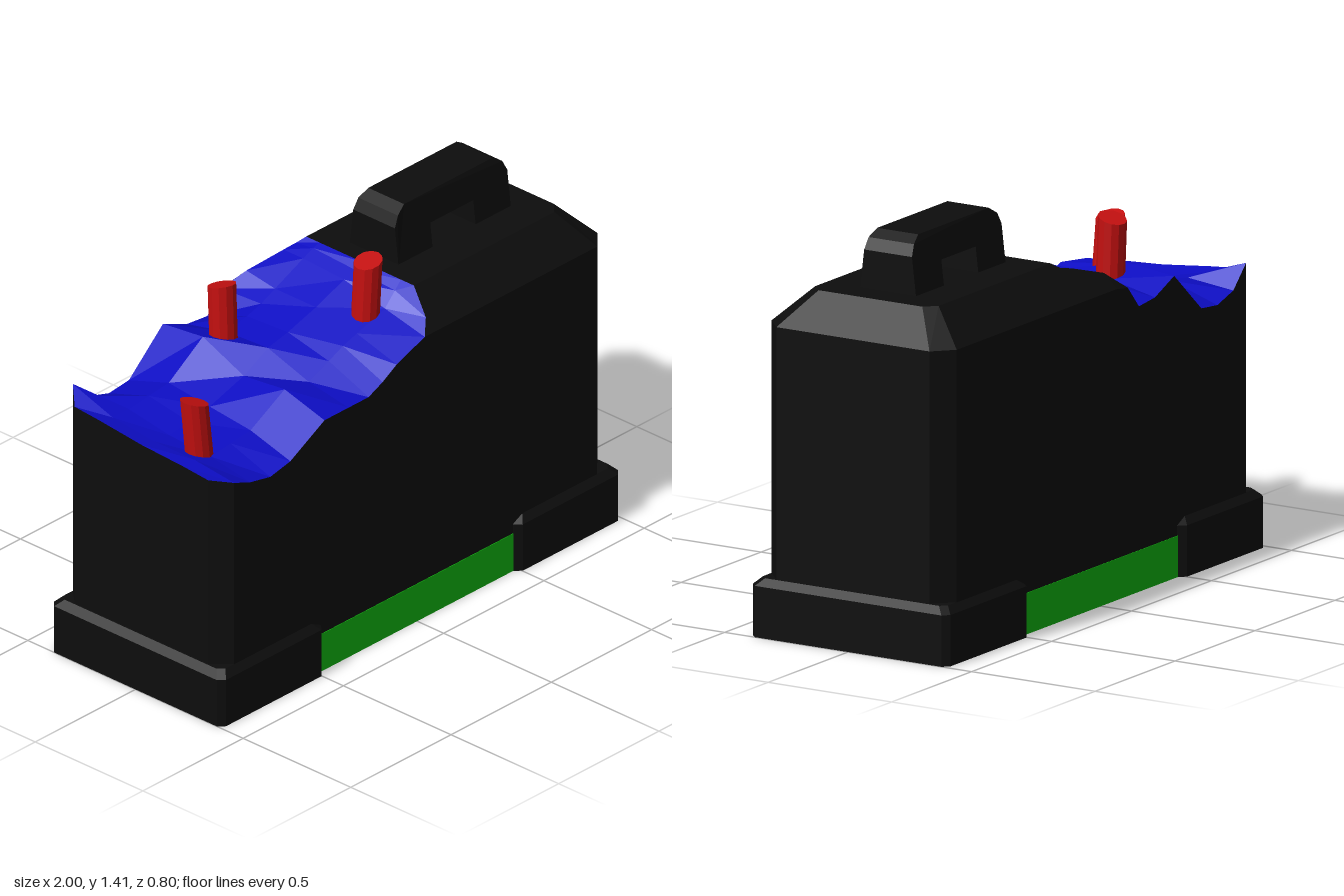
import * as THREE from 'three';

const flat = (name, color, side = THREE.FrontSide) => {
  const m = new THREE.MeshStandardMaterial({ color, flatShading: true, side });
  m.name = name;
  return m;
};

// Builds a flat-faced geometry from a list of polygons (each fanned from its first corner)
function fromPolygons(polys) {
  const pos = [];
  for (const p of polys)
    for (let i = 1; i + 1 < p.length; i++) pos.push(...p[0], ...p[i], ...p[i + 1]);
  const g = new THREE.BufferGeometry();
  g.setAttribute('position', new THREE.Float32BufferAttribute(pos, 3));
  g.computeVertexNormals();
  return g;
}

// Walls between stacked rings; ring points run front, right, back, left
function walls(rings, closed) {
  const polys = [];
  for (let r = 0; r + 1 < rings.length; r++) {
    const a = rings[r], b = rings[r + 1], n = a.length;
    for (let i = 0; i < (closed ? n : n - 1); i++) {
      const j = (i + 1) % n;
      polys.push([a[i], a[j], b[j], b[i]]);
    }
  }
  return polys;
}

// Rectangle with cut corners
function cutRect(cx, y, hx, hz, c) {
  return [
    [-hx + c, hz], [hx - c, hz], [hx, hz - c], [hx, -hz + c],
    [hx - c, -hz], [-hx + c, -hz], [-hx, -hz + c], [-hx, hz - c],
  ].map(([x, z]) => [cx + x, y, z]);
}

export function createModel() {
  const black = flat('black casing', 0x0d0d0d, THREE.DoubleSide);
  const blue = flat('blue fracture', 0x0d0dc4, THREE.DoubleSide);
  const red = flat('red rods', 0xc41010);
  const green = flat('green base', 0x10c010);

  const model = new THREE.Group();
  const add = (name, geometry, material) => {
    const mesh = new THREE.Mesh(geometry, material);
    mesh.name = name;
    model.add(mesh);
    return mesh;
  };

  // Intact half of the casing, with a bevelled top
  const W = 0.375, SHOULDER = 1.09, TOP = 1.21, CUT = 0.12, BASE = 0.14;
  const half = (y, x1, x2, z1, z2) =>
    [[CUT, y, z1], [x1, y, z1], [x2, y, z2], [x2, y, -z2], [x1, y, -z1], [CUT, y, -z1]];
  const top = half(TOP, 0.82, 0.86, 0.25, 0.21);
  add('intactCasing', fromPolygons([
    ...walls([half(BASE, 0.9, 0.97, W, 0.31), half(SHOULDER, 0.9, 0.97, W, 0.31), top], false),
    top,
  ]), black);

  // Broken half: x, half width, then fracture heights from back to front
  const stations = [
    [-0.97, 0.31, 0.97, 0.96, 0.94, 0.93, 0.92],
    [-0.91, W, 1.01, 0.95, 0.93, 0.93, 0.91],
    [-0.83, W, 0.93, 0.95, 0.92, 0.91, 0.88],
    [-0.73, W, 0.90, 0.96, 0.93, 0.92, 0.86],
    [-0.63, W, 0.91, 0.97, 0.95, 0.93, 0.88],
    [-0.46, W, 1.06, 1.08, 1.00, 1.02, 0.97],
    [-0.34, W, 1.01, 1.05, 1.06, 1.00, 0.97],
    [-0.24, W, 1.00, 1.07, 1.08, 1.04, 0.97],
    [-0.17, W, 1.08, 1.09, 1.10, 1.07, 1.00],
    [-0.10, W, 1.14, 1.12, 1.12, 1.09, 1.04],
    [0.04, W, 1.18, 1.18, 1.17, 1.13, 1.09],
    [0.09, W, 1.19, 1.20, 1.19, 1.18, 1.13],
    [CUT, W, TOP, TOP, TOP, TOP, TOP],
  ].map(([x, w, ...h]) => {
    // Where the fracture is above the shoulder its edge follows the bevel inwards
    const edge = (y) => w - Math.max(0, y - SHOULDER) * 0.125 / 0.12;
    const zs = [-edge(h[0]), -0.19, 0, 0.19, edge(h[4])];
    const side = (s, y) => [
      [x, BASE, s * w], [x, Math.min(y, SHOULDER), s * w], [x, y, s * edge(y)],
    ];
    return { sheet: zs.map((z, i) => [x, h[i], z]), back: side(-1, h[0]), front: side(1, h[4]) };
  });

  const sheet = [], shell = [];
  for (let s = 0; s + 1 < stations.length; s++) {
    const a = stations[s], b = stations[s + 1];
    for (let i = 0; i < 4; i++)
      sheet.push([a.sheet[i], a.sheet[i + 1], b.sheet[i + 1], b.sheet[i]]);
    for (let i = 0; i < 2; i++) {
      shell.push([a.front[i], b.front[i], b.front[i + 1], a.front[i + 1]]);
      shell.push([b.back[i], a.back[i], a.back[i + 1], b.back[i + 1]]);
    }
  }
  // End wall under the jagged edge
  const end = stations[0].sheet;
  for (let i = 0; i < 4; i++) {
    const p = end[i], q = end[i + 1];
    shell.push([[p[0], BASE, p[2]], [q[0], BASE, q[2]], q, p]);
  }
  add('brokenCasing', fromPolygons(shell), black);
  add('fractureSurface', fromPolygons(sheet), blue);

  // Feet at both ends
  for (const s of [-1, 1]) {
    const rings = [
      cutRect(s * 0.74, 0, 0.26, 0.4, 0.022),
      cutRect(s * 0.74, 0.18, 0.26, 0.4, 0.022),
      cutRect(s * 0.74, 0.205, 0.235, 0.374, 0.022),
    ];
    add(s < 0 ? 'rightFoot' : 'leftFoot',
      fromPolygons([...walls(rings, true), rings[2], [...rings[0]].reverse()]), black);
  }

  // Base plate between the feet
  add('basePlate', new THREE.BoxGeometry(0.96, 0.145, 0.754).translate(0, 0.0725, 0), green);

  // Carrying handle: an arch that narrows towards the top
  const arch = new THREE.Shape([
    [0.19, 1.2], [0.36, 1.2], [0.36, 1.3], [0.575, 1.3], [0.575, 1.2], [0.75, 1.2],
    [0.75, 1.345], [0.73, 1.385], [0.69, 1.41], [0.25, 1.41], [0.21, 1.385], [0.19, 1.345],
  ].map(([x, y]) => new THREE.Vector2(x, y)));
  const handle = new THREE.ExtrudeGeometry(arch, { depth: 2, bevelEnabled: false });
  handle.translate(0, 0, -1);
  const hp = handle.attributes.position;
  for (let i = 0; i < hp.count; i++) {
    const y = hp.getY(i);
    const w = y < 1.39 ? 0.113 - (y - 1.21) * 0.12 : 0.083;
    hp.setZ(i, hp.getZ(i) * w);
  }
  handle.computeVertexNormals();
  add('handle', handle, black);

  // Leaning rods with slanted tips: base, tip, and tip slope along x and z
  const rods = [
    [[-0.83, 0.84, 0.145], [-0.857, 1.115, 0.14], -0.3, 0],
    [[-0.38, 0.95, -0.165], [-0.378, 1.255, -0.178], -0.1, 0.3],
    [[-0.012, 1.02, 0.143], [-0.003, 1.32, 0.152], 0.25, 0],
  ];
  rods.forEach(([b, t, sx, sz], n) => {
    const g = new THREE.CylinderGeometry(0.05, 0.05, 1, 12).translate(0, 0.5, 0);
    const p = g.attributes.position;
    for (let i = 0; i < p.count; i++) {
      const x = p.getX(i), z = p.getZ(i), k = p.getY(i);
      p.setXYZ(i,
        x + b[0] + (t[0] - b[0]) * k,
        b[1] + (t[1] - b[1] + sx * x + sz * z) * k,
        z + b[2] + (t[2] - b[2]) * k);
    }
    g.computeVertexNormals();
    add('rod' + (n + 1), g, red);
  });

  return model;
}
